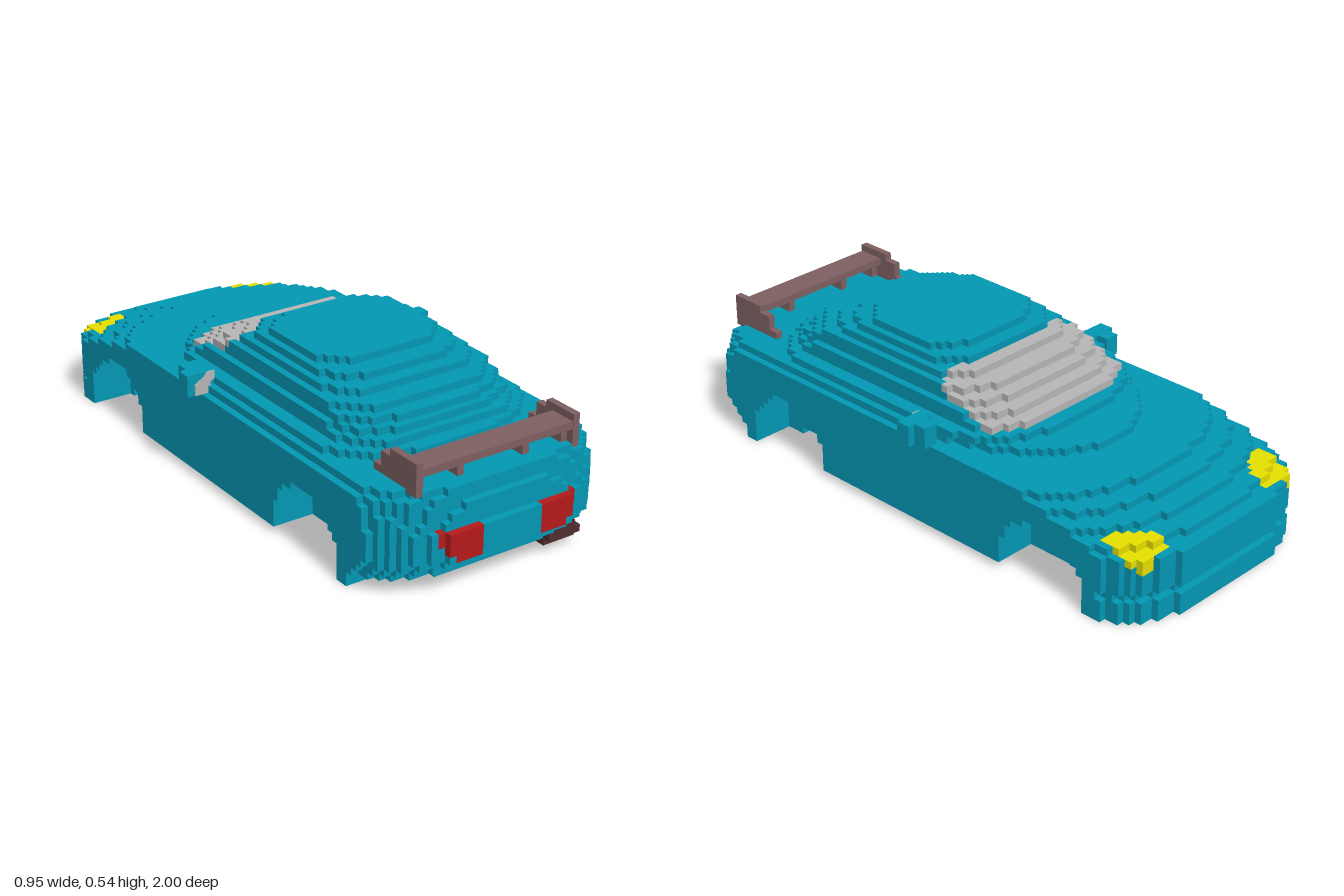
import * as THREE from 'three';

const S = 2 / 82; // block size
const mat = (name, color) => {
  const m = new THREE.MeshStandardMaterial({ color });
  m.name = name;
  return m;
};

// Key layers, bottom to top; layers between are blended.
// Layer, half width, nose z, tail z, corner width, nose corner depth, tail corner depth
const KEYS = [
  [0, 0.427, -1, 0.76, 0.3, 0.2, 0.02],
  [1, 0.427, -1, 0.76, 0.3, 0.2, 0.02],
  [2, 0.427, -1, 0.93, 0.3, 0.2, 0.2],
  [3, 0.427, -0.976, 0.955, 0.3, 0.2, 0.2],
  [4, 0.427, -1, 0.976, 0.3, 0.2, 0.2],
  [5, 0.427, -1, 1, 0.3, 0.2, 0.22],
  [8, 0.427, -1, 1, 0.3, 0.2, 0.22],
  [9, 0.427, -0.94, 0.976, 0.3, 0.18, 0.2],
  [12, 0.427, -0.73, 0.96, 0.42, 0.25, 0.2],
  [13, 0.4, -0.54, 0.95, 0.4, 0.6, 0.2],
  [14, 0.37, -0.39, 0.73, 0.3, 0.22, 0.2],
  [15, 0.335, -0.34, 0.69, 0.2, 0.15, 0.2],
  [18, 0.305, -0.19, 0.59, 0.18, 0.14, 0.17],
  [21, 0.23, -0.02, 0.39, 0.13, 0.12, 0.13],
];
const LAYERS = Array.from({ length: 22 }, (_, k) => {
  const n = Math.max(1, KEYS.findIndex((key) => key[0] >= k));
  const [a, b] = [KEYS[n - 1], KEYS[n]];
  const t = (k - a[0]) / (b[0] - a[0]);
  return a.map((v, c) => THREE.MathUtils.lerp(v, b[c], t)).slice(1);
});
const ARCHES = [[0.535, 0.18], [-0.605, 0.178]]; // wheel well centre z, radius

const centre = (i, k, j) => [i * S, (k + 0.5) * S, (j + 0.5) * S - 1];

// How far a rounded corner pulls the end of a layer back at width x
function pullBack(x, w, rx, rz) {
  const t = Math.min(1, Math.max(0, (x - (w - rx)) / rx));
  return rz * (1 - Math.sqrt(1 - t * t));
}

function solid(i, k, j) {
  if (k < 0 || k >= LAYERS.length) return false;
  const [cx, y, z] = centre(i, k, j);
  const x = Math.abs(cx);
  const [w, nose, tail, rx, noseRz, tailRz] = LAYERS[k];
  if (x > w) return false;
  if (z < nose + pullBack(x, w, rx, noseRz)) return false;
  if (z > tail - pullBack(x, w, Math.min(rx, 0.3), tailRz)) return false;
  // floor is raised except at the nose lip and behind the rear wheels
  if (k === 0 && z > -0.76 && (z < 0.64 || x < 0.2)) return false;
  // wheel wells
  return !(x > 0.28 && ARCHES.some(([az, r]) => Math.hypot(z - az, y - 0.04) < r));
}

// Which painted part a block belongs to
function partOf(i, k, j) {
  const [cx, y, z] = centre(i, k, j);
  const x = Math.abs(cx);
  const col = Math.abs(i);
  if (k >= 15 && k <= 19 && x < 0.31 && z < -0.04 - Math.max(0, x - 0.25)
    && !solid(i, k + 1, j)) return 'windscreen';
  if (x > 0.23 + Math.max(0, z + 0.88) && x < 0.385 && z < -0.81 && z > -0.96
    && y > 0.17 + (z + 0.95) * 0.45) return 'headlights';
  if (z > 0.9 && k >= 5 && k <= 8 && col >= 5 && col <= Math.min(10, k + 3)) return 'tailLights';
  return 'body';
}

// Collects the visible block faces for each part
function buildHull() {
  const out = { body: [], windscreen: [], headlights: [], tailLights: [] };
  const dirs = [[1, 0, 0], [-1, 0, 0], [0, 1, 0], [0, -1, 0], [0, 0, 1], [0, 0, -1]];
  for (let k = 0; k < LAYERS.length; k++)
    for (let i = -17; i <= 17; i++)
      for (let j = 0; j < 82; j++) {
        if (!solid(i, k, j)) continue;
        const list = out[partOf(i, k, j)];
        const c = new THREE.Vector3(...centre(i, k, j));
        for (const d of dirs) {
          if (solid(i + d[0], k + d[1], j + d[2])) continue;
          const n = new THREE.Vector3(...d);
          const u = new THREE.Vector3(d[1], d[2], d[0]);
          const v = n.clone().cross(u);
          const q = [[-1, -1], [1, -1], [1, 1], [-1, 1]].map(([a, b]) =>
            c.clone().addScaledVector(n, S / 2).addScaledVector(u, a * S / 2).addScaledVector(v, b * S / 2));
          for (const m of [0, 1, 2, 0, 2, 3]) list.push(q[m].x, q[m].y, q[m].z);
        }
      }
  return out;
}

export function createModel() {
  const car = new THREE.Group();
  car.name = 'car';
  const teal = mat('teal paint', 0x0398b4);
  const grey = mat('grey glass', 0xb6b6b6);
  const yellow = mat('yellow lamp', 0xe6e000);
  const red = mat('red lamp', 0xb51a1a);
  const brown = mat('brown trim', 0x7e6061);
  const dark = mat('dark exhaust', 0x522b2d);

  // Stepped hull with windscreen and lamps
  const hull = buildHull();
  const paint = { body: teal, windscreen: grey, headlights: yellow, tailLights: red };
  for (const name in hull) {
    const g = new THREE.BufferGeometry();
    g.setAttribute('position', new THREE.Float32BufferAttribute(hull[name], 3));
    g.computeVertexNormals();
    const m = new THREE.Mesh(g, paint[name]);
    m.name = name;
    car.add(m);
  }

  // Box from its limits along x, y and z
  const box = (name, m, x0, x1, y0, y1, z0, z1) => {
    const b = new THREE.Mesh(new THREE.BoxGeometry(x1 - x0, y1 - y0, z1 - z0), m);
    b.position.set((x0 + x1) / 2, (y0 + y1) / 2, (z0 + z1) / 2);
    b.name = name;
    car.add(b);
  };
  const pair = (name, m, x0, x1, ...rest) => {
    box(name + 'Left', m, x0, x1, ...rest);
    box(name + 'Right', m, -x1, -x0, ...rest);
  };

  // Rear spoiler: wing, end plates and struts
  box('spoilerWing', brown, -0.3, 0.3, 0.39, 0.415, 0.83, 0.925);
  pair('spoilerEndPlate', brown, 0.281, 0.305, 0.33, 0.439, 0.8, 0.927);
  pair('spoilerEndPlateStep', brown, 0.281, 0.305, 0.33, 0.415, 0.756, 0.8);
  pair('spoilerEndPlateFoot', brown, 0.281, 0.305, 0.33, 0.366, 0.72, 0.756);
  pair('spoilerBracket', brown, 0.258, 0.281, 0.341, 0.39, 0.85, 0.9);
  pair('spoilerStrut', brown, 0.11, 0.134, 0.341, 0.39, 0.85, 0.9);

  // Exhaust
  box('exhaust', dark, 0.183, 0.305, 0.025, 0.049, 0.76, 0.93);
  box('exhaustMiddle', dark, 0.183, 0.305, 0.049, 0.073, 0.8, 0.955);
  box('exhaustTop', dark, 0.207, 0.281, 0.073, 0.098, 0.8, 0.958);

  // Door mirrors
  pair('mirrorHousing', teal, 0.378, 0.476, 0.317, 0.39, -0.1, -0.05);
  pair('mirrorHousingFront', teal, 0.4, 0.451, 0.317, 0.39, -0.146, -0.1);
  const glass = [[0.378, 0.362], [0.393, 0.355], [0.393, 0.317], [0.45, 0.317],
    [0.45, 0.355], [0.415, 0.375], [0.405, 0.39], [0.378, 0.39]];
  for (const s of [1, -1]) {
    const shape = new THREE.Shape(glass.map(([x, y]) => new THREE.Vector2(s * x, y)));
    const g = new THREE.ExtrudeGeometry(shape, { depth: 0.005, bevelEnabled: false });
    const m = new THREE.Mesh(g, grey);
    m.position.z = -0.05;
    m.name = s > 0 ? 'mirrorGlassLeft' : 'mirrorGlassRight';
    car.add(m);
  }

  return car;
}
